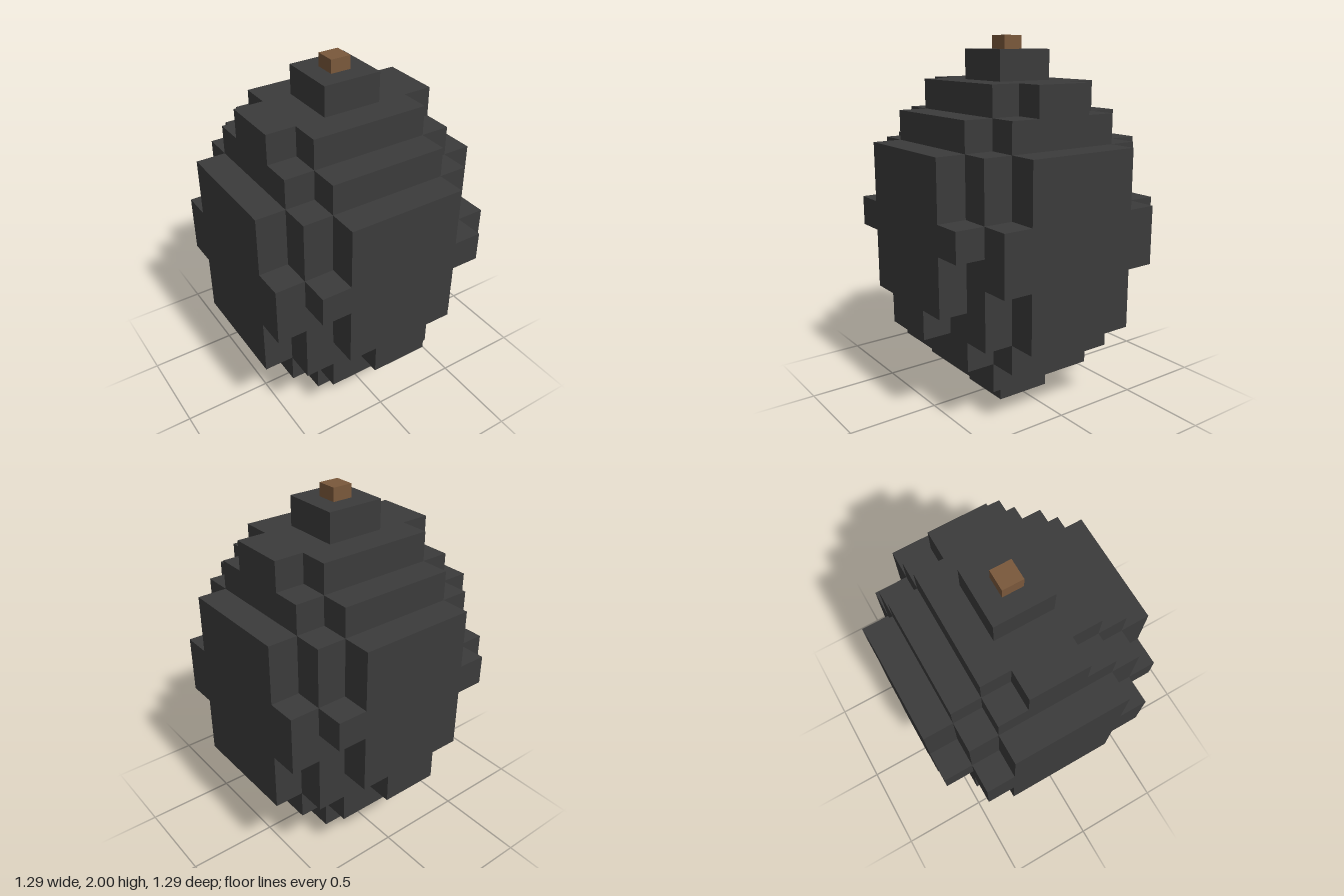
import * as THREE from 'three';

const UNIT = 0.1607; // edge of one block

// Each layer: start height and height in blocks, then the half-width in x
// of every block row, counted from the middle outward along z.
const LAYERS = [
  ['footBlock', 0, 1, [1]],
  ['lowerStep', 1, 1, [2, 2]],
  ['lowerShoulder', 2, 1, [3, 3, 2]],
  ['bellyBottom', 3, 1, [4, 4, 3, 1]],
  ['bellyLower', 4, 1, [4, 4, 3, 2]],
  ['bellyMiddle', 5, 1, [4, 4, 4, 2]],
  ['bellyBand', 6, 1, [4, 4, 4, 3]],
  ['bellyUpper', 7, 2, [4, 4, 3, 2]],
  ['upperShoulder', 9, 1, [3, 3, 2]],
  ['upperStep', 10, 1, [3, 2]],
  ['crownBlock', 11, 1, [1]],
];

// Stepped outline, mirrored across both axes
function steppedShape(rows) {
  const quarter = [];
  rows.forEach((w, r) => {
    if (w === rows[r + 1]) return;
    if (r > 0 && quarter.length) quarter.push([w, quarter[quarter.length - 1][1]]);
    quarter.push([w, r + 1]);
  });
  const back = [...quarter].reverse();
  const points = [
    ...quarter,
    ...back.map(([x, z]) => [-x, z]),
    ...quarter.map(([x, z]) => [-x, -z]),
    ...back.map(([x, z]) => [x, -z]),
  ];
  return new THREE.Shape(points.map(([x, z]) => new THREE.Vector2(x * UNIT, z * UNIT)));
}

export function createModel() {
  const model = new THREE.Group();
  model.name = 'blockyFruit';

  const charcoal = new THREE.MeshStandardMaterial({ color: 0x3b3b3b });
  charcoal.name = 'charcoal';
  const brown = new THREE.MeshStandardMaterial({ color: 0x7a583b });
  brown.name = 'brown';

  // Body, one stepped slab per layer
  const body = new THREE.Group();
  body.name = 'body';
  for (const [name, start, height, rows] of LAYERS) {
    const geometry = new THREE.ExtrudeGeometry(steppedShape(rows), {
      depth: height * UNIT,
      bevelEnabled: false,
    });
    geometry.rotateX(-Math.PI / 2);
    const slab = new THREE.Mesh(geometry, charcoal);
    slab.name = name;
    slab.position.y = start * UNIT;
    body.add(slab);
  }
  model.add(body);

  // Stem on top
  const top = 12 * UNIT;
  const stem = new THREE.Mesh(new THREE.BoxGeometry(0.112, 2 - top, 0.112), brown);
  stem.name = 'stem';
  stem.position.y = (2 + top) / 2;
  model.add(stem);

  return model;
}
